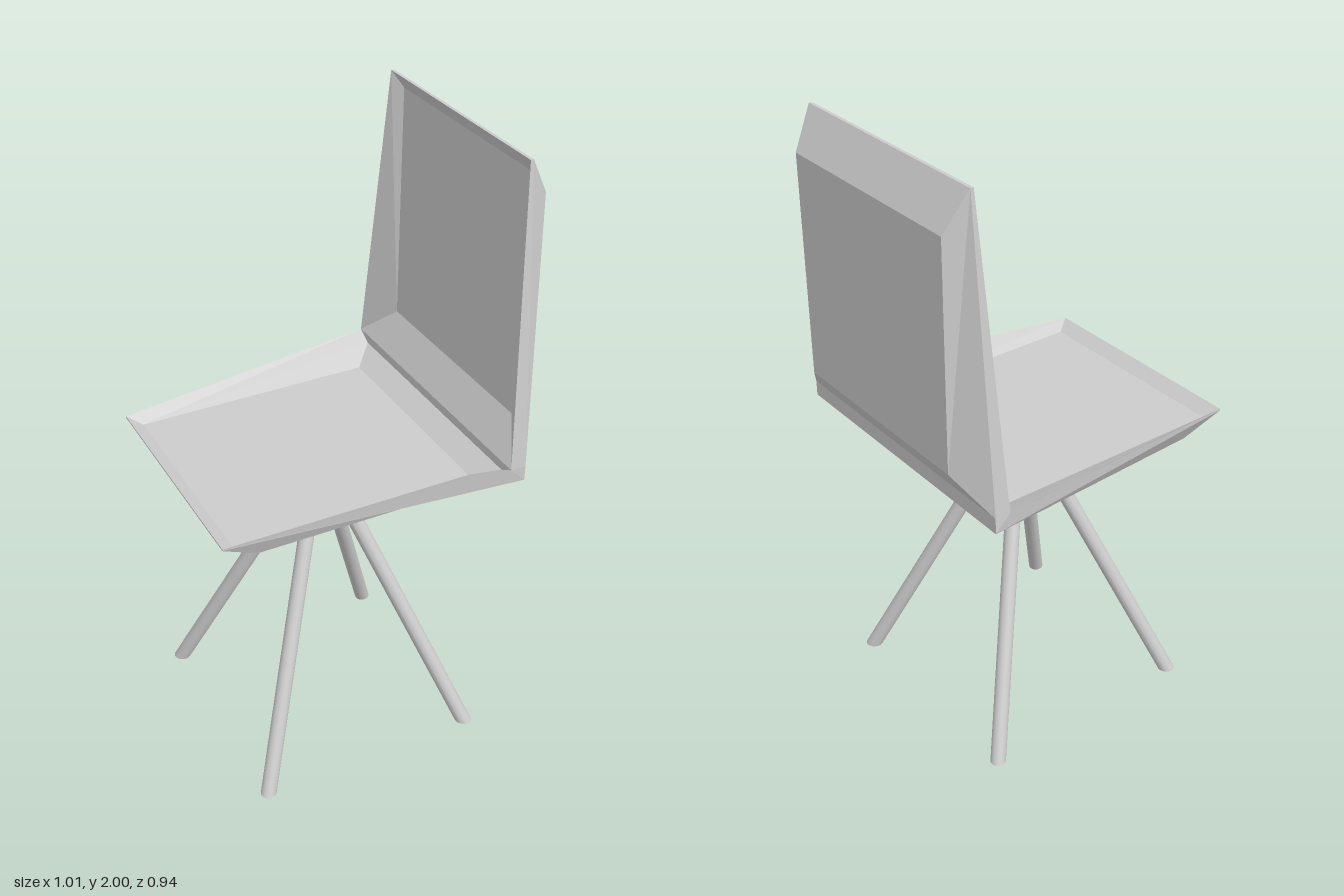
import * as THREE from 'three';

const grey = new THREE.MeshStandardMaterial({ color: 0xcccccc });
const greyFlat = new THREE.MeshStandardMaterial({ color: 0xcccccc, flatShading: true });

// Points of the folded shell on its +z half: x, y, half width
const P = {
  frontLip: [-0.505, 1.022, 0.38], frontLipUnder: [-0.505, 1.017, 0.38],
  underFront: [-0.385, 0.945, 0.35], underRear: [0.315, 0.945, 0.35],
  heel: [0.435, 1.015, 0.47], heelTop: [0.435, 1.065, 0.47],
  rearLow: [0.505, 1.175, 0.35], rearHigh: [0.505, 1.88, 0.35],
  topRear: [0.435, 2, 0.38], topFront: [0.425, 2, 0.38],
  padHigh: [0.455, 1.95, 0.35], padLow: [0.455, 1.175, 0.35],
  fold: [0.385, 1.065, 0.47], foldInner: [0.385, 1.036, 0.42],
  floorRear: [0.315, 0.995, 0.35], floorFront: [-0.46, 0.995, 0.35],
};
const mirror = ([x, y, z]) => [x, y, -z];

// Faceted sheet: strips run across the width along a profile, sides are mirrored polygons
function shell(name, profiles, sides) {
  const pos = [];
  const fan = (pts) => {
    for (let i = 1; i < pts.length - 1; i++) pos.push(...pts[0], ...pts[i], ...pts[i + 1]);
  };
  for (const profile of profiles) {
    for (let i = 0; i < profile.length - 1; i++) {
      const a = P[profile[i]], b = P[profile[i + 1]];
      fan([a, mirror(a), mirror(b), b]);
    }
  }
  for (const side of sides) {
    const pts = side.map((k) => P[k]);
    fan(pts);
    fan(pts.map(mirror).reverse());
  }
  const geo = new THREE.BufferGeometry();
  geo.setAttribute('position', new THREE.Float32BufferAttribute(pos, 3));
  geo.computeVertexNormals();
  const mesh = new THREE.Mesh(geo, greyFlat);
  mesh.name = name;
  return mesh;
}

// Slanted round leg, cut level at the floor and under the seat
function leg(angle) {
  const height = 0.947, radius = 0.025, topOffset = 0.021, footOffset = 0.512;
  const geo = new THREE.CylinderGeometry(radius, radius, height, 24);
  geo.translate(0, height / 2, 0);
  const p = geo.attributes.position;
  for (let i = 0; i < p.count; i++) {
    const lean = THREE.MathUtils.lerp(footOffset, topOffset, p.getY(i) / height);
    p.setX(i, p.getX(i) * 1.13 + lean);
  }
  geo.computeVertexNormals();
  const mesh = new THREE.Mesh(geo, grey);
  mesh.rotation.y = angle;
  mesh.name = 'leg';
  return mesh;
}

export function createModel() {
  const model = new THREE.Group();
  model.name = 'chair';

  // Dished seat, with its thin rim
  model.add(shell('seat', [
    ['frontLip', 'frontLipUnder', 'underFront', 'underRear', 'heel'],
    ['fold', 'foldInner', 'floorRear', 'floorFront', 'frontLip'],
  ], [
    ['frontLipUnder', 'underFront', 'underRear', 'heel'],
    ['frontLip', 'frontLipUnder', 'heel', 'fold'],
    ['frontLip', 'fold', 'foldInner', 'floorRear', 'floorFront'],
  ]));

  // Dished backrest, rising from the fold
  model.add(shell('backrest', [
    ['heel', 'heelTop', 'rearLow', 'rearHigh', 'topRear', 'topFront', 'padHigh', 'padLow', 'fold'],
  ], [
    ['heelTop', 'rearLow', 'rearHigh', 'topRear'],
    ['fold', 'heel', 'heelTop', 'topRear', 'topFront'],
    ['fold', 'topFront', 'padHigh', 'padLow'],
  ]));

  // Four legs splayed towards the corners
  const legs = new THREE.Group();
  legs.name = 'legs';
  for (let i = 0; i < 4; i++) legs.add(leg(Math.PI / 4 + i * Math.PI / 2));
  legs.position.set(-0.027, 0, 0.025);
  model.add(legs);

  return model;
}
